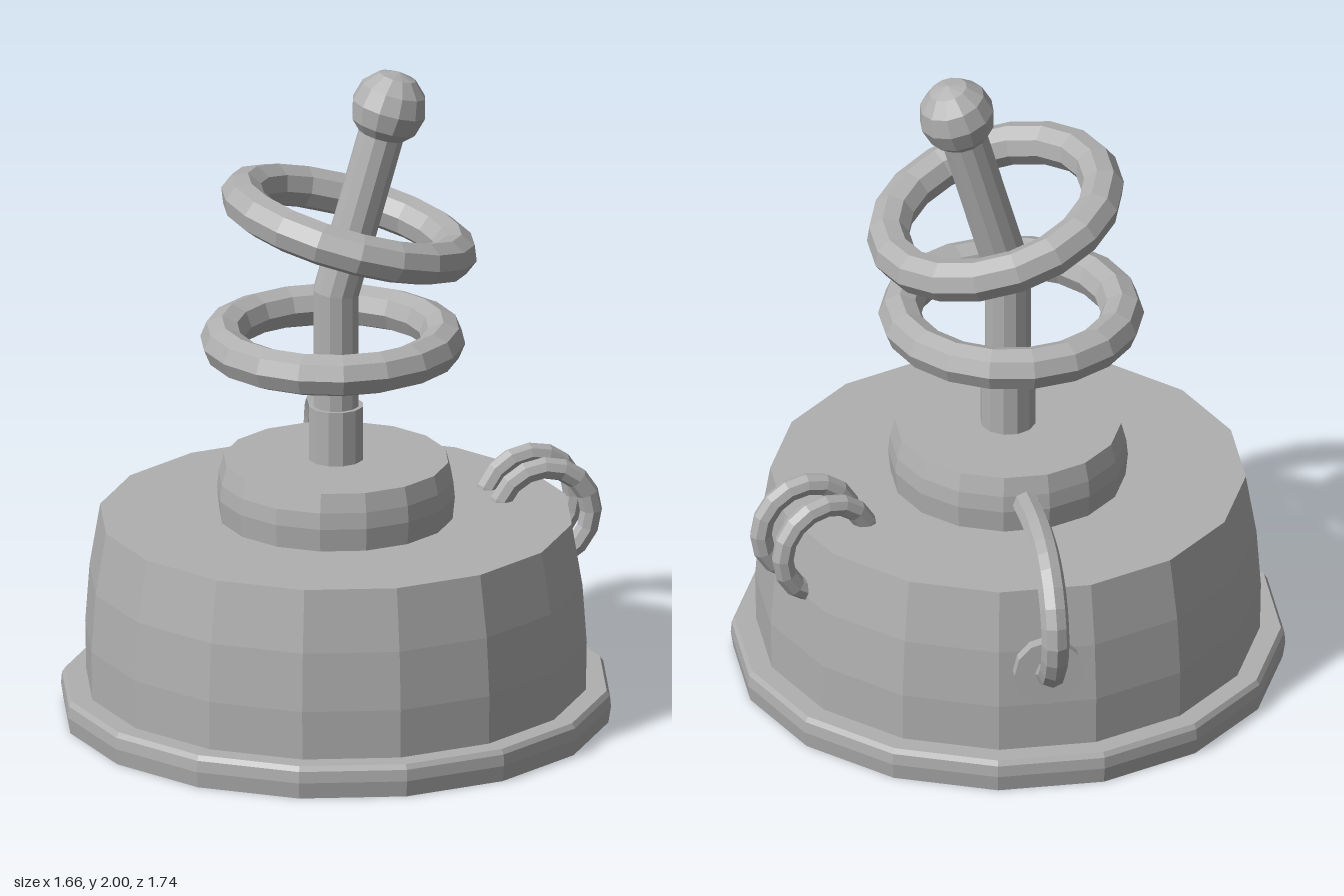
import * as THREE from 'three';

const grey = new THREE.MeshStandardMaterial({ color: 0xb0b0b0, flatShading: true });
grey.name = 'plain grey';

const TILT = 0.28; // lean of the upper rod, radians
const BEND = 1.32; // height of the bend in the rod

function part(parent, name, geometry, x = 0, y = 0, z = 0) {
  const mesh = new THREE.Mesh(geometry, grey);
  mesh.name = name;
  mesh.position.set(x, y, z);
  parent.add(mesh);
  return mesh;
}

function lathe(points, sides = 16) {
  return new THREE.LatheGeometry(points.map(([r, y]) => new THREE.Vector2(r, y)), sides);
}

// Rod with a mitred bend: three rings of a cylinder moved into place
function bentRod(radius, bottom, length) {
  const geo = new THREE.CylinderGeometry(radius, radius, 2, 12, 2);
  const p = geo.attributes.position;
  for (let i = 0; i < p.count; i++) {
    const x = p.getX(i), y = p.getY(i);
    if (y < -0.5) p.setY(i, bottom);
    else if (y < 0.5) p.setY(i, BEND - x * Math.tan(TILT / 2));
    else {
      p.setX(i, length * Math.sin(TILT) + x * Math.cos(TILT));
      p.setY(i, BEND + length * Math.cos(TILT) - x * Math.sin(TILT));
    }
  }
  geo.computeVertexNormals();
  return geo;
}

export function createModel() {
  const model = new THREE.Group();
  model.name = 'machine';
  const body = new THREE.Group();
  body.name = 'body';
  body.position.z = 0.05;
  model.add(body);

  // Stacked round housing
  part(body, 'basePlate', lathe([[0, 0], [0.82, 0], [0.828, 0.05], [0.825, 0.085], [0.815, 0.1], [0, 0.1]]));
  part(body, 'drum', lathe([[0.752, 0.09], [0.755, 0.25], [0.742, 0.43], [0.71, 0.62], [0, 0.62]]));
  part(body, 'cap', lathe([[0.35, 0.61], [0.358, 0.69], [0.353, 0.74], [0.338, 0.797], [0, 0.797]]));
  part(body, 'collar', lathe([[0.083, 0.79], [0.083, 0.965], [0, 0.965]], 12));

  // Bent rod with its ball tip
  part(body, 'rod', bentRod(0.07, 0.8, 0.56));
  const ball = part(body, 'ballTip', new THREE.SphereGeometry(0.115, 12, 6),
    0.163, 1.887, 0);
  ball.rotation.z = -TILT;

  // Two floating rings, the upper one square to the leaning rod
  const ringGeo = new THREE.TorusGeometry(0.332, 0.065, 8, 18).rotateX(Math.PI / 2);
  part(body, 'lowerRing', ringGeo, -0.01, 1.17, 0);
  part(body, 'upperRing', ringGeo, 0.04, 1.53, 0).rotation.z = -TILT;

  // Pair of small rings set through the drum's shoulder
  const loopGeo = new THREE.TorusGeometry(0.144, 0.034, 8, 16);
  part(body, 'sideLoop1', loopGeo, 0.643, 0.565, 0);
  part(body, 'sideLoop2', loopGeo, 0.633, 0.565, -0.14).rotation.y = 0.12;

  // Pipe from the cap, over the back edge and into the drum (-z is outward)
  const pipe = new THREE.Group();
  pipe.name = 'pipe';
  pipe.rotation.y = -Math.PI / 16;
  body.add(pipe);
  const path = new THREE.CatmullRomCurve3([
    [0.70, -0.3], [0.72, -0.4], [0.748, -0.58], [0.735, -0.73], [0.67, -0.84],
    [0.56, -0.89], [0.46, -0.87], [0.385, -0.805], [0.36, -0.72],
  ].map(([y, z]) => new THREE.Vector3(0, y, z)));
  part(pipe, 'pipeTube', new THREE.TubeGeometry(path, 18, 0.042, 8, false));
  const flange = part(pipe, 'pipeFlange', new THREE.CylinderGeometry(0.104, 0.104, 0.06, 12), 0, 0.367, -0.738);
  flange.rotation.x = Math.PI / 2 + 0.06;

  return model;
}
